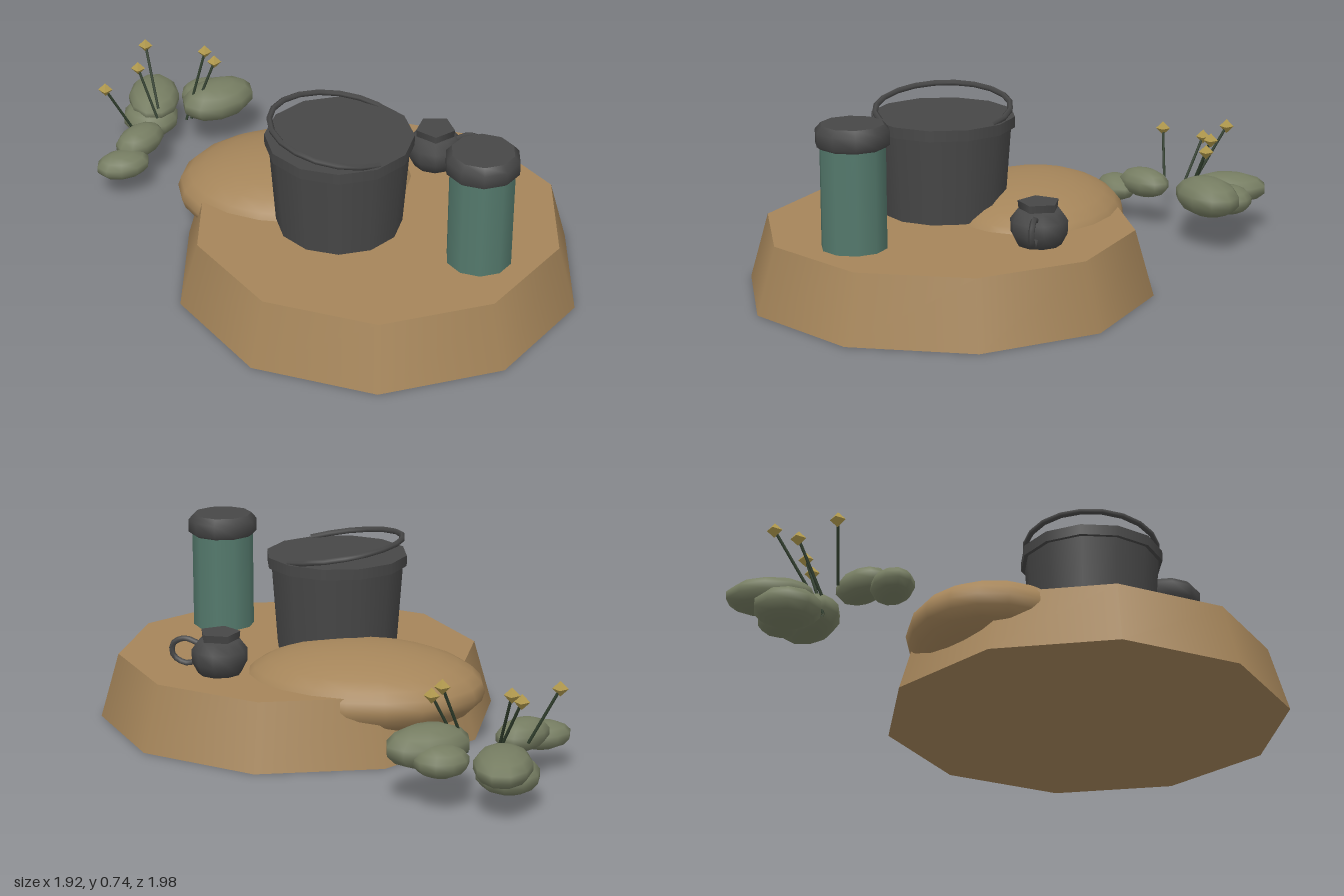
import * as THREE from 'three';

const material = (name, color) => {
  const m = new THREE.MeshStandardMaterial({ color });
  m.name = name;
  return m;
};

export function createModel() {
  const earth = material('earth', 0xa5855a);
  const iron = material('iron', 0x474747);
  const teal = material('teal', 0x54796c);
  const sage = material('sage', 0x767d62);
  const stemGreen = material('stem green', 0x2f3d2c);
  const yellow = material('yellow', 0xb29a4e);

  const model = new THREE.Group();
  model.name = 'campSite';

  const add = (parent, name, geometry, mat, x = 0, y = 0, z = 0) => {
    const mesh = new THREE.Mesh(geometry, mat);
    mesh.name = name;
    mesh.position.set(x, y, z);
    parent.add(mesh);
    return mesh;
  };
  const group = (name, x, y, z) => {
    const g = new THREE.Group();
    g.name = name;
    g.position.set(x, y, z);
    model.add(g);
    return g;
  };
  // Faceted drum standing between two heights
  const drum = (parent, name, mat, rBottom, rTop, y0, y1, sides) =>
    add(parent, name, new THREE.CylinderGeometry(rTop, rBottom, y1 - y0, sides), mat, 0, (y0 + y1) / 2, 0);
  const lathe = (points, sides) =>
    new THREE.LatheGeometry(points.map(([r, y]) => new THREE.Vector2(r, y)), sides);
  const blob = (name, mat, [x, y, z], [rx, ry, rz], turn = 0, tilt = 0, w = 10, h = 7) => {
    const mesh = add(model, name, new THREE.SphereGeometry(1, w, h), mat, x, y, z);
    mesh.scale.set(rx, ry, rz);
    mesh.rotation.set(0, turn, tilt);
    return mesh;
  };

  // Ground slab and the mound at its back left
  const ground = group('ground', 0.2, 0, 0.19);
  drum(ground, 'groundSlab', earth, 0.8, 0.725, 0.015, 0.275, 10);
  blob('mound', earth, [-0.12, 0.225, -0.09], [0.48, 0.165, 0.365], 0, 0, 20, 14);

  // Cooking pot with rim, lid and folded carrying handle
  const pot = group('pot', 0.05, 0, 0.24);
  drum(pot, 'potBody', iron, 0.245, 0.27, 0.285, 0.63, 12);
  drum(pot, 'potRim', iron, 0.285, 0.285, 0.625, 0.668, 12);
  const bail = [];
  for (let i = 0; i <= 12; i++) {
    const a = THREE.MathUtils.degToRad(55 + (250 * i) / 12);
    const x = 0.265 * Math.cos(a);
    bail.push(new THREE.Vector3(x, 0.67 + (0.15 - x) * 0.155, 0.265 * Math.sin(a)));
  }
  add(pot, 'potHandle', new THREE.TubeGeometry(new THREE.CatmullRomCurve3(bail), 14, 0.012, 5), iron);

  // Flask with a chamfered cap
  const flask = group('flask', 0.58, 0, 0.48);
  drum(flask, 'flaskBody', teal, 0.126, 0.126, 0.27, 0.665, 10);
  add(flask, 'flaskCap', lathe([[0, 0.655], [0.115, 0.655], [0.142, 0.675], [0.142, 0.725], [0.12, 0.75], [0.12, 0.75], [0, 0.752]], 10), iron);

  // Small kettle with lid and side handle
  const kettle = group('kettle', 0.43, 0, -0.195);
  add(kettle, 'kettleBody', lathe([[0, 0.275], [0.085, 0.275], [0.108, 0.32], [0.11, 0.37], [0.08, 0.41], [0, 0.415]], 10), iron);
  drum(kettle, 'kettleLid', iron, 0.078, 0.082, 0.405, 0.44, 5);
  const grip = [[0.08, 0.385], [0.14, 0.405], [0.188, 0.38], [0.188, 0.335], [0.14, 0.305], [0.09, 0.315]];
  const gripPath = new THREE.CatmullRomCurve3(grip.map(([x, y]) => new THREE.Vector3(x, y, 0)));
  add(kettle, 'kettleHandle', new THREE.TubeGeometry(gripPath, 12, 0.012, 5), iron);

  // Rounded bushes: position, radii, turn, tilt
  [
    [[-0.76, 0.195, -0.83], [0.11, 0.065, 0.17], 0.08, 0],
    [[-0.77, 0.14, -0.76], [0.12, 0.07, 0.13], 0.3, 0],
    [[-0.48, 0.23, -0.765], [0.17, 0.08, 0.115], 0.65, 0],
    [[-0.54, 0.205, -0.85], [0.105, 0.06, 0.095], 0.3, 0],
    [[-0.79, 0.195, -0.475], [0.125, 0.062, 0.078], 0.95, 0],
    [[-0.85, 0.155, -0.35], [0.115, 0.055, 0.08], 0.45, 0],
  ].forEach(([p, r, turn, tilt], i) => blob('bush' + (i + 1), sage, p, r, turn, tilt));

  // Flowers: root and head of each stem
  [
    [[-0.82, 0.19, -0.56], [-0.93, 0.4, -0.54]],
    [[-0.73, 0.2, -0.645], [-0.81, 0.4, -0.72]],
    [[-0.73, 0.22, -0.69], [-0.785, 0.455, -0.82]],
    [[-0.61, 0.18, -0.67], [-0.53, 0.455, -0.77]],
    [[-0.59, 0.18, -0.68], [-0.49, 0.415, -0.755]],
  ].forEach(([root, head], i) => {
    const a = new THREE.Vector3(...root), b = new THREE.Vector3(...head);
    const path = new THREE.LineCurve3(a, b);
    add(model, 'flowerStem' + (i + 1), new THREE.TubeGeometry(path, 1, 0.006, 5), stemGreen);
    add(model, 'flowerHead' + (i + 1), new THREE.OctahedronGeometry(0.03), yellow, ...head);
  });

  return model;
}
